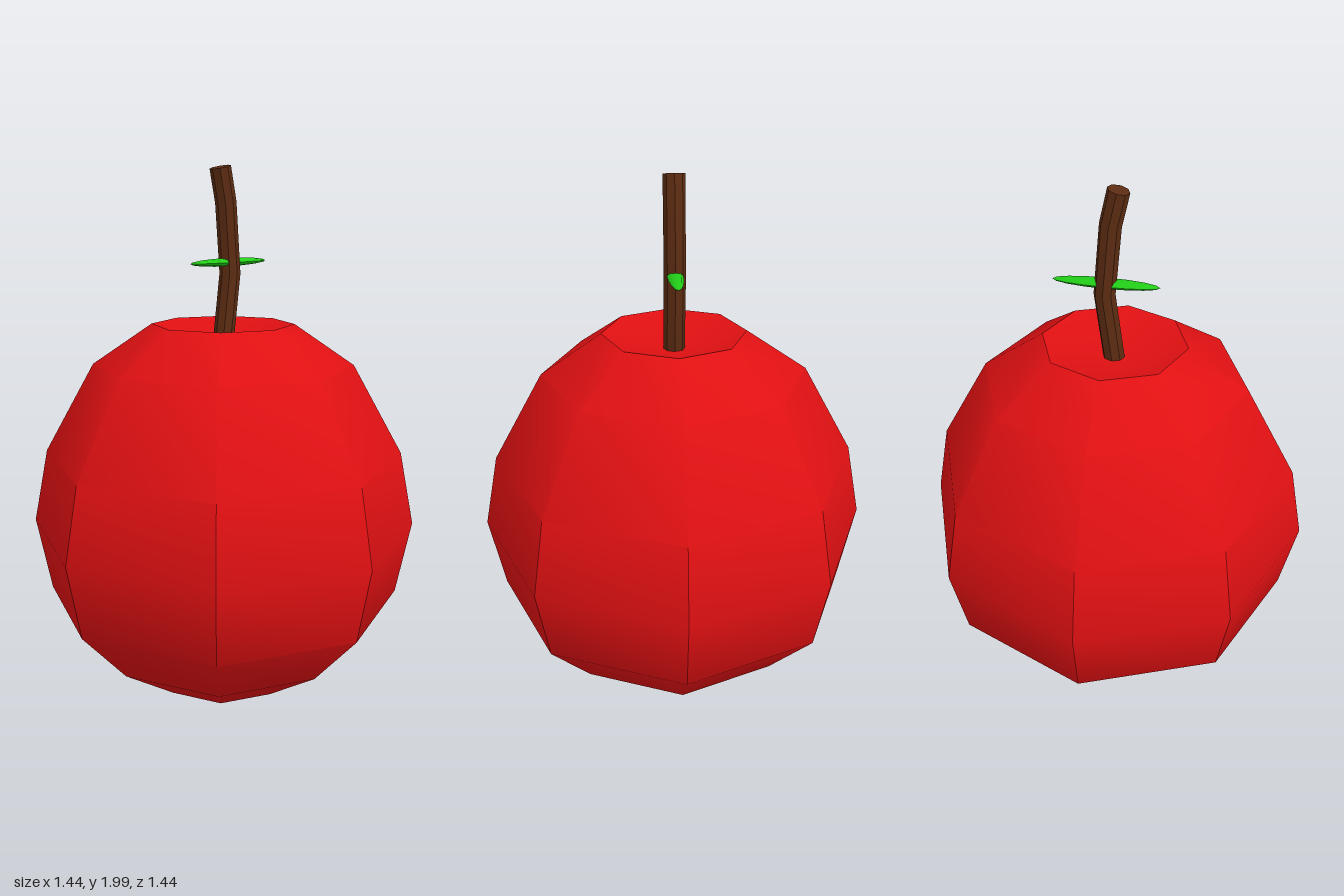
import * as THREE from 'three';
import { toCreasedNormals } from 'three/addons/utils/BufferGeometryUtils.js';

const CREASE = THREE.MathUtils.degToRad(42);

function part(name, geometry, color) {
  const material = new THREE.MeshStandardMaterial();
  material.color.set(color);
  const mesh = new THREE.Mesh(toCreasedNormals(geometry, CREASE), material);
  mesh.name = name;
  return mesh;
}

// Eight-sided fruit with a shallow dip at the top
function fruitGeometry() {
  const profile = [
    [0, 0.005], [0.26, 0.06], [0.48, 0.205], [0.665, 0.41], [0.72, 0.685],
    [0.665, 0.96], [0.48, 1.29], [0.26, 1.44], [0, 1.37],
  ].map(([r, y]) => new THREE.Vector2(r, y));
  return new THREE.LatheGeometry(profile, 8);
}

// Cylinder whose rings follow a bent path: [y, z, tilt about x]
function stemGeometry() {
  const rings = [[1.36, 0.0, -0.14], [1.62, -0.035, -0.03], [1.87, -0.014, 0.15], [1.99, 0.013, 0.22]];
  const geometry = new THREE.CylinderGeometry(0.038, 0.038, 3, 8, 3);
  const position = geometry.attributes.position;
  for (let i = 0; i < position.count; i++) {
    const [y, z, tilt] = rings[Math.round(position.getY(i) + 1.5)];
    const across = position.getZ(i);
    position.setY(i, y - across * Math.sin(tilt));
    position.setZ(i, z + across * Math.cos(tilt));
  }
  return geometry;
}

// Slim stretched ball passing through the stem, with its poles at the leaf tips
function leafGeometry() {
  const geometry = new THREE.SphereGeometry(1, 8, 8);
  geometry.rotateX(Math.PI / 2);
  geometry.scale(0.029, 0.015, 0.185);
  geometry.translate(0, 1.66, -0.03);
  return geometry;
}

export function createModel() {
  const group = new THREE.Group();
  group.name = 'fruit';
  group.add(
    part('body', fruitGeometry(), 0xe01012),
    part('stem', stemGeometry(), 0x5c2c12),
    part('leaves', leafGeometry(), 0x22cc18),
  );
  return group;
}
